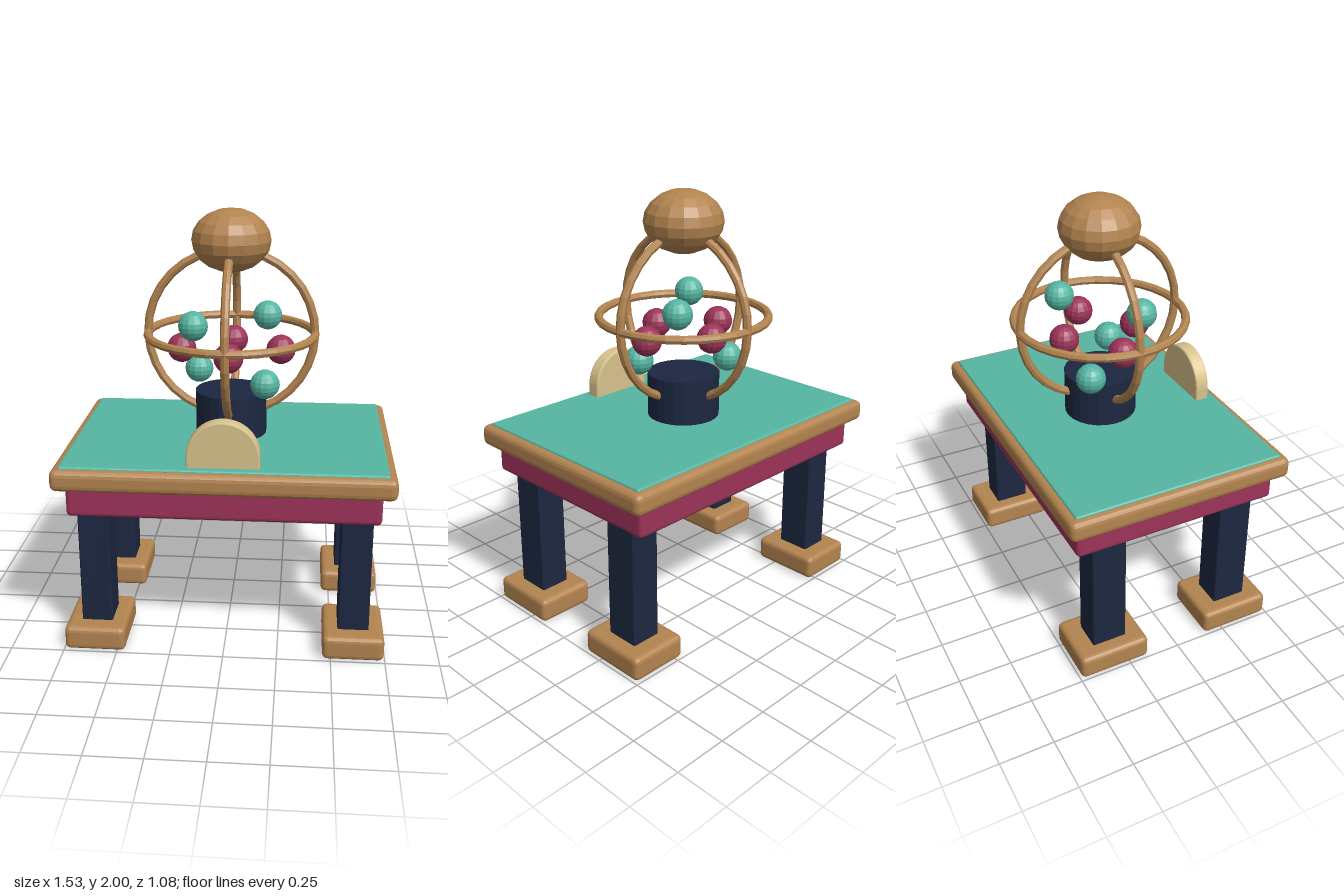
import * as THREE from 'three';
import { RoundedBoxGeometry } from 'three/addons/geometries/RoundedBoxGeometry.js';

const paint = (color) => new THREE.MeshStandardMaterial({ color, flatShading: true });

export function createModel() {
  const model = new THREE.Group();
  model.name = 'ballCageTable';
  const wood = paint(0xb38450);
  const teal = paint(0x56b5a2);
  const red = paint(0x9d3359);
  const navy = paint(0x1c2740);
  const cream = paint(0xd8c38c);

  function add(name, geometry, material, x, y, z, parent = model) {
    const mesh = new THREE.Mesh(geometry, material);
    mesh.name = name;
    mesh.position.set(x, y, z);
    parent.add(mesh);
    return mesh;
  }
  const box = (w, h, d, r) => new RoundedBoxGeometry(w, h, d, 2, r);

  // Table: wooden rim, felt surface and apron
  add('tableRim', box(1.53, 0.1, 1.08, 0.03), wood, 0, 0.875, 0);
  add('feltTop', box(1.46, 0.04, 1.01, 0.01), teal, 0, 0.915, 0);
  add('apron', box(1.41, 0.17, 0.98, 0.02), red, 0, 0.775, 0);

  // Four legs on block feet
  for (const x of [-0.603, 0.603]) {
    for (const z of [-0.323, 0.323]) {
      add('leg', box(0.145, 0.62, 0.165, 0.008), navy, x, 0.4, z);
      add('foot', box(0.285, 0.115, 0.34, 0.025), wood, x, 0.0625, z);
    }
  }

  // Small studs just breaking the front edge of the rim
  for (const x of [-0.247, -0.082, 0.082, 0.247]) {
    add('edgeStud', new THREE.SphereGeometry(0.02, 8, 6), red, x, 0.908, 0.498);
  }

  // Ball cage: drum base, three crossing hoops and a flattened cap
  const cage = new THREE.Group();
  cage.name = 'ballCage';
  cage.position.set(0, 0, -0.037);
  model.add(cage);
  add('drum', new THREE.CylinderGeometry(0.17, 0.17, 0.23, 24), navy, 0, 1.03, 0, cage);
  const hoop = new THREE.TorusGeometry(0.393, 0.02, 8, 32);
  add('frontHoop', hoop, wood, 0, 1.42, 0, cage);
  add('sideHoop', hoop, wood, 0, 1.42, 0, cage).rotation.y = Math.PI / 2;
  add('levelHoop', hoop, wood, 0, 1.42, 0, cage).rotation.x = Math.PI / 2;
  const cap = add('cap', new THREE.SphereGeometry(0.184, 16, 10), wood, 0, 1.855, 0, cage);
  cap.scale.y = 0.145 / 0.184;

  // Eight floating balls on an oval path, alternating colour and height
  const ball = new THREE.SphereGeometry(0.069, 14, 10);
  for (let i = 0; i < 8; i++) {
    const a = (i * Math.PI) / 4;
    const y = 1.345 - 0.135 * Math.sin(2 * a);
    add('ball', ball, i % 2 ? teal : red, 0.235 * Math.cos(a), y, 0.18 * Math.sin(a), cage);
  }

  // Upright round-topped plate at the front
  const arch = new THREE.Shape();
  arch.moveTo(-0.155, 0);
  arch.lineTo(0.155, 0);
  arch.lineTo(0.155, 0.065);
  arch.absarc(0, 0.065, 0.155, 0, Math.PI, false);
  arch.lineTo(-0.155, 0);
  const plate = new THREE.ExtrudeGeometry(arch, {
    depth: 0.05, bevelEnabled: true, bevelThickness: 0.008, bevelSize: 0.008,
    bevelSegments: 2, curveSegments: 16,
  });
  add('archPlate', plate, cream, 0, 0.92, 0.411);

  return model;
}
